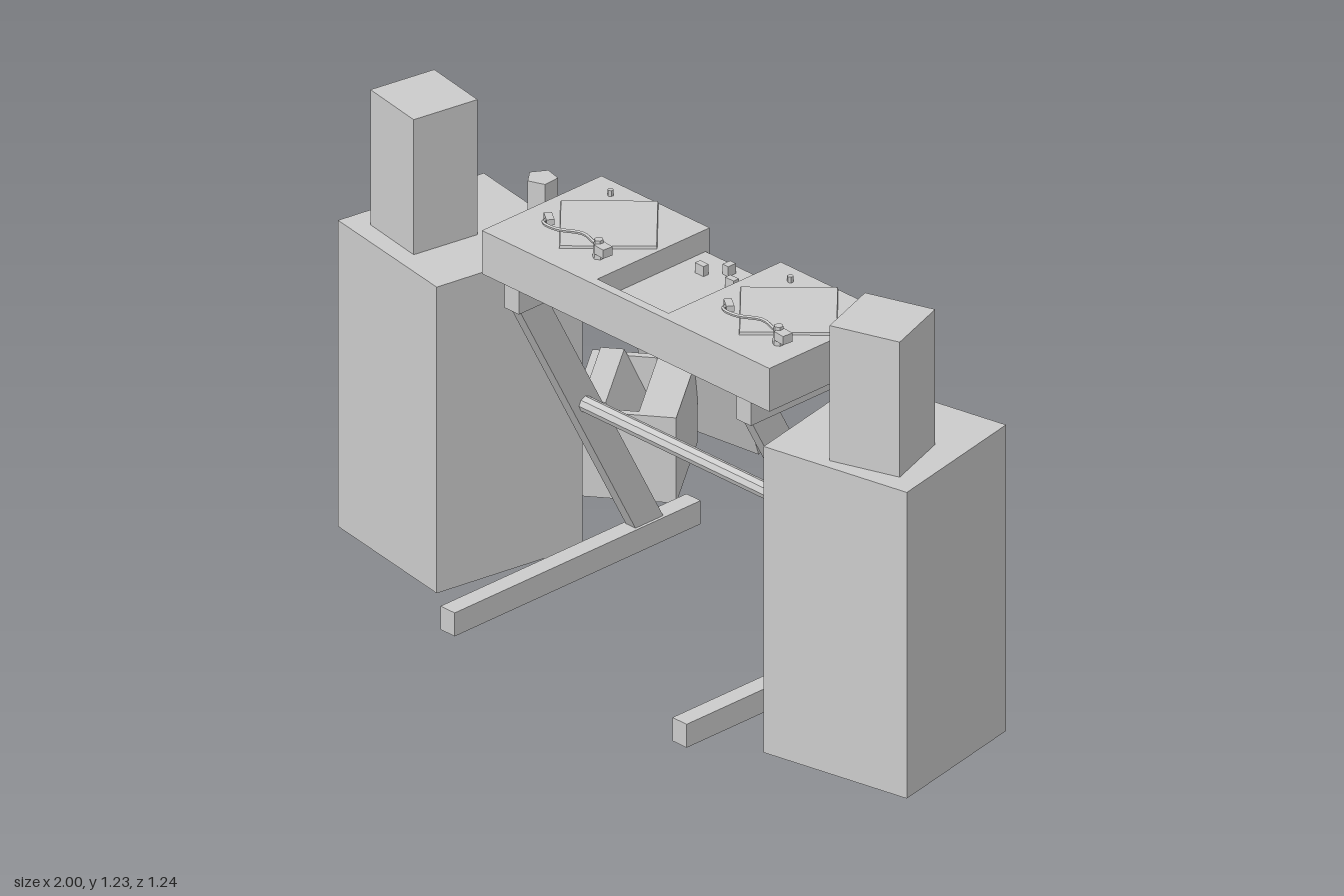
import * as THREE from 'three';

const grey = new THREE.MeshStandardMaterial({ color: 0xcccccc, flatShading: true, side: THREE.DoubleSide });

function add(parent, name, geometry, x = 0, y = 0, z = 0, yaw = 0) {
  const mesh = new THREE.Mesh(geometry, grey);
  mesh.name = name;
  mesh.position.set(x, y, z);
  mesh.rotation.order = 'YXZ';
  mesh.rotation.y = yaw;
  parent.add(mesh);
  return mesh;
}

// Box given by its minimum and maximum corners
function boxBetween(parent, name, a, b) {
  return add(parent, name, new THREE.BoxGeometry(b[0] - a[0], b[1] - a[1], b[2] - a[2]),
    (a[0] + b[0]) / 2, (a[1] + b[1]) / 2, (a[2] + b[2]) / 2);
}

// Polygon extruded along +z
function prism(points, depth) {
  const shape = new THREE.Shape(points.map(([x, y]) => new THREE.Vector2(x, y)));
  return new THREE.ExtrudeGeometry(shape, { depth, bevelEnabled: false });
}

function makeDesk() {
  const desk = new THREE.Group();
  desk.name = 'desk';

  // U-shaped top, open at the back for the mixer
  const top = prism([[-0.51, 0.01], [-0.51, -0.4], [0.5, -0.4], [0.5, 0.01],
    [0.12, 0.01], [0.12, -0.375], [-0.13, -0.375], [-0.13, 0.01]], 0.12);
  top.rotateX(-Math.PI / 2);
  add(desk, 'deskTop', top, 0, 0.88, 0);
  boxBetween(desk, 'recessFloor', [-0.13, 0.88, -0.01], [0.12, 0.925, 0.375]);

  // Mixer with three knobs
  boxBetween(desk, 'mixer', [-0.129, 0.925, 0.005], [0.119, 0.94, 0.345]);
  for (const [x, z, w, d] of [[-0.005, 0.045, 0.02, 0.026], [-0.053, 0.092, 0.03, 0.018], [0.053, 0.092, 0.03, 0.018]]) {
    add(desk, 'mixerKnob', new THREE.BoxGeometry(w, 0.028, d), x, 0.954, z);
  }

  // Slanted leg frames
  for (const x of [-0.41, 0.405]) {
    boxBetween(desk, 'foot', [x - 0.025, 0, -0.228], [x + 0.025, 0.065, 0.615]);
    boxBetween(desk, 'topBeam', [x - 0.025, 0.812, 0.005], [x + 0.025, 0.88, 0.395]);
    const leg = prism([[0.11, 0.06], [0.015, 0.06], [-0.385, 0.815], [-0.29, 0.815]], 0.034);
    leg.rotateY(Math.PI / 2);
    add(desk, 'slantedLeg', leg, x - 0.017, 0, 0);
  }
  const bar = new THREE.CylinderGeometry(0.021, 0.021, 0.79, 8);
  bar.rotateZ(Math.PI / 2);
  add(desk, 'crossBar', bar, -0.003, 0.475, 0.16);
  return desk;
}

function makeTurntable(x) {
  const deck = new THREE.Group();
  deck.name = 'turntable';
  deck.position.set(x, 1, 0.16);
  // Four-sided platter
  add(deck, 'platter', new THREE.CylinderGeometry(0.168, 0.17, 0.007, 4), 0, 0.0035, 0);
  add(deck, 'startButton', new THREE.CylinderGeometry(0.008, 0.008, 0.016, 6), -0.112, 0.008, -0.115);
  // Curved arm with its head, pivot and counterweight
  const path = new THREE.CatmullRomCurve3([[-0.1, 0.026, 0.11], [-0.085, 0.03, 0.142], [-0.03, 0.034, 0.148],
    [0.03, 0.034, 0.118], [0.08, 0.032, 0.128], [0.12, 0.03, 0.138]].map(p => new THREE.Vector3(...p)));
  add(deck, 'toneArm', new THREE.TubeGeometry(path, 16, 0.005, 5), 0, 0, 0);
  add(deck, 'armHead', new THREE.BoxGeometry(0.04, 0.016, 0.02), -0.095, 0.025, 0.112, -0.6);
  add(deck, 'armPivot', new THREE.CylinderGeometry(0.012, 0.016, 0.05, 6), 0.1, 0.025, 0.132);
  add(deck, 'counterweight', new THREE.BoxGeometry(0.036, 0.024, 0.03), 0.122, 0.03, 0.138, -0.1);
  return deck;
}

function makeCrate() {
  const crate = new THREE.Group();
  crate.name = 'recordCrate';
  crate.position.set(-0.705, 0, -0.3125);
  crate.rotation.y = 0.636;
  // Contents with a raised, leaning stack beside a gap
  add(crate, 'crateAndRecords', prism([[-0.1305, 0], [0.1305, 0], [0.1305, 0.237], [0.035, 0.237], [0.035, 0.08],
    [-0.048, 0.255], [-0.107, 0.255], [-0.107, 0.237], [-0.1305, 0.237]], 0.284), 0, 0, -0.142);
  for (const side of [-1, 1]) {
    add(crate, 'crateEnd', new THREE.BoxGeometry(0.261, 0.237, 0.019), 0, 0.1185, side * 0.1515);
  }
  return crate;
}

export function createModel() {
  const model = new THREE.Group();
  model.name = 'discJockeyDesk';
  model.add(makeDesk(), makeTurntable(-0.31), makeTurntable(0.322));

  // Large cabinets with small speakers on top
  add(model, 'rightCabinet', new THREE.BoxGeometry(0.426, 0.85, 0.435), -0.751, 0.425, 0.239, -0.168);
  add(model, 'leftCabinet', new THREE.BoxGeometry(0.426, 0.85, 0.43), 0.747, 0.425, 0.245, 0.196);
  add(model, 'rightSpeaker', new THREE.BoxGeometry(0.19, 0.375, 0.189), -0.815, 1.0375, 0.301, -0.18);
  add(model, 'leftSpeaker', new THREE.BoxGeometry(0.193, 0.375, 0.193), 0.806, 1.0375, 0.311, 0.33);

  // Five-sided cup
  add(model, 'cup', new THREE.CylinderGeometry(0.04, 0.04, 0.155, 5), -0.601, 0.9275, 0.106, -0.25);

  // Crate on the floor and the case leaning on it
  model.add(makeCrate());
  const caseMesh = add(model, 'leaningCase', new THREE.BoxGeometry(0.318, 0.272, 0.04), -0.7, 0.135, -0.5375, 0.125);
  caseMesh.rotation.x = 0.34;
  return model;
}
